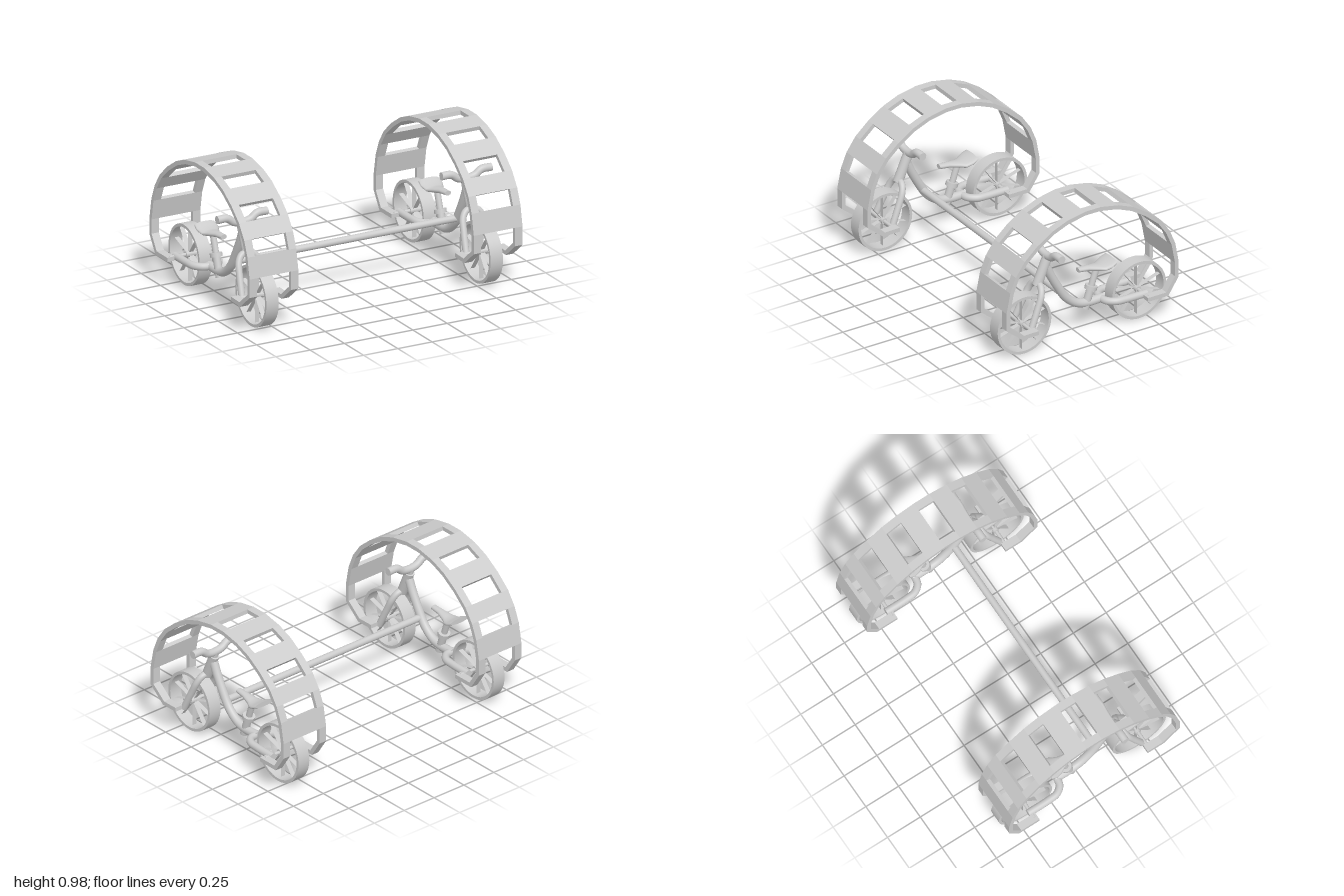
import * as THREE from 'three';

const mat = new THREE.MeshStandardMaterial({ color: 0xcccccc });
const thin = new THREE.MeshStandardMaterial({ color: 0xcccccc, side: THREE.DoubleSide });
const V = (p) => new THREE.Vector3(...p);

function add(parent, geo, name, material = mat) {
  const m = new THREE.Mesh(geo, material);
  m.name = name;
  parent.add(m);
  return m;
}

// Straight cylinder between two points
function rod(parent, a, b, r, name, r2 = r) {
  const p = V(a), q = V(b), d = q.clone().sub(p);
  const m = add(parent, new THREE.CylinderGeometry(r2, r, d.length(), 20), name);
  m.position.copy(p).add(q).multiplyScalar(0.5);
  m.quaternion.setFromUnitVectors(new THREE.Vector3(0, 1, 0), d.normalize());
  return m;
}

// Bent tube with closed ends
function tube(parent, pts, r, name) {
  const g = new THREE.Group();
  g.name = name;
  const curve = new THREE.CatmullRomCurve3(pts.map(V));
  add(g, new THREE.TubeGeometry(curve, 32, r, 16), name + 'Tube');
  for (const t of [0, 1]) {
    const cap = add(g, new THREE.CircleGeometry(r, 16), name + 'End');
    const p = curve.getPoint(t);
    cap.position.copy(p);
    cap.lookAt(p.clone().addScaledVector(curve.getTangent(t), t ? 1 : -1));
  }
  parent.add(g);
}

// Hoop outline as [z, y], from front axle over the top to rear axle
const HOOP = [
  [0.407, 0.188], [0.53, 0.186], [0.652, 0.285], [0.652, 0.41], [0.624, 0.55], [0.582, 0.652],
  [0.514, 0.748], [0.418, 0.832], [0.304, 0.906], [0.192, 0.951], [0.058, 0.977],
  [-0.058, 0.977], [-0.192, 0.951], [-0.304, 0.906], [-0.418, 0.832], [-0.518, 0.745],
  [-0.582, 0.652], [-0.624, 0.55], [-0.65, 0.41], [-0.65, 0.302], [-0.572, 0.184], [-0.418, 0.184],
].map((p) => new THREE.Vector2(...p));
const THICK = 0.028;

// Inner outline, mitred at every corner
const INNER = HOOP.map((p, i) => {
  const normal = (a, b) => new THREE.Vector2(a.y - b.y, b.x - a.x).normalize();
  const n1 = normal(HOOP[Math.max(i - 1, 0)], HOOP[Math.max(i, 1)]);
  const last = HOOP.length - 1;
  const n2 = normal(HOOP[Math.min(i, last - 1)], HOOP[Math.min(i + 1, last)]);
  const n = n1.clone().add(n2).normalize();
  return p.clone().addScaledVector(n, THICK / n.dot(n1));
});

// Piece of the hoop from corner i to corner j, spanning a width in x
function band(parent, i, j, x, width, name) {
  const outline = [...HOOP.slice(i, j + 1), ...INNER.slice(i, j + 1).reverse()];
  const geo = new THREE.ExtrudeGeometry(new THREE.Shape(outline), { depth: width, bevelEnabled: false });
  geo.translate(0, 0, -width / 2).rotateY(-Math.PI / 2).translate(x, 0, 0);
  add(parent, geo, name);
}

function makeHoop() {
  const g = new THREE.Group();
  g.name = 'hoop';
  for (const s of [-1, 1]) band(g, 0, HOOP.length - 1, s * 0.151, 0.054, 'hoopRail');
  for (let i = 3; i < 18; i += 2) band(g, i, i + 1, 0, 0.25, 'hoopPanel');
  return g;
}

function makeWheel(name, z) {
  const g = new THREE.Group();
  g.name = name;
  // Flat-sided rim
  const w = 0.045, R = 0.203, r = 0.184;
  const corners = [[R, -w], [R, w], [r, w], [r, -w]];
  for (let i = 0; i < 4; i++) {
    const side = [corners[i], corners[(i + 1) % 4]].map((p) => new THREE.Vector2(...p));
    add(g, new THREE.LatheGeometry(side, 48).rotateZ(Math.PI / 2), 'rim', thin);
  }
  // Ribbon spokes
  for (let i = 0; i < 10; i++) {
    const spoke = new THREE.PlaneGeometry(0.032, 0.186).translate(0, 0.093, 0);
    add(g, spoke.rotateX((i / 10) * Math.PI * 2), 'spoke', thin);
  }
  rod(g, [-0.035, 0, 0], [0.035, 0, 0], 0.02, 'hub');
  rod(g, [-0.15, 0, 0], [0.15, 0, 0], 0.012, 'axle');
  g.position.set(0, 0.203, z);
  return g;
}

// Saddle stations from nose to tail: z, middle y, half height, half width
function makeSaddle() {
  const st = [[0, 0.457, 0.016, 0.022], [-0.07, 0.451, 0.018, 0.027], [-0.14, 0.438, 0.021, 0.045],
    [-0.175, 0.433, 0.021, 0.065], [-0.215, 0.449, 0.02, 0.08], [-0.252, 0.467, 0.018, 0.075]];
  const geo = new THREE.CylinderGeometry(1, 1, 1, 16, st.length - 1);
  const p = geo.attributes.position;
  for (let i = 0; i < p.count; i++) {
    const [z, y, h, w] = st[Math.round((0.5 - p.getY(i)) * (st.length - 1))];
    p.setXYZ(i, p.getX(i) * w, y - p.getZ(i) * h, z);
  }
  geo.computeVertexNormals();
  return geo;
}

function makeBike(name, x) {
  const g = new THREE.Group();
  g.name = name;
  g.add(makeHoop(), makeWheel('frontWheel', 0.431), makeWheel('rearWheel', -0.437));

  // Main frame, steering column and forks
  tube(g, [[0, 0.57, 0.245], [0, 0.5, 0.215], [0, 0.4, 0.162], [0, 0.29, 0.092],
    [0, 0.227, 0.015], [0, 0.205, -0.06], [0, 0.205, -0.19]], 0.029, 'mainFrame');
  rod(g, [0, 0.44, 0.308], [0, 0.61, 0.235], 0.033, 'steeringColumn');
  rod(g, [0, 0.58, 0.245], [0, 0.64, 0.236], 0.027, 'stem');
  for (const s of [-1, 1]) {
    tube(g, [[0, 0.455, 0.3], [s * 0.045, 0.44, 0.307], [s * 0.072, 0.4, 0.322],
      [s * 0.085, 0.32, 0.357], [s * 0.1, 0.185, 0.417]], 0.022, 'frontForkLeg');
    tube(g, [[0, 0.205, -0.17], [s * 0.055, 0.205, -0.185], [s * 0.092, 0.205, -0.23],
      [s * 0.1, 0.204, -0.3], [s * 0.1, 0.202, -0.456]], 0.025, 'rearForkLeg');
  }

  // Handlebar dipping in the middle
  tube(g, [[-0.182, 0.68, 0.236], [-0.11, 0.678, 0.236], [-0.06, 0.645, 0.236], [0, 0.635, 0.236],
    [0.06, 0.645, 0.236], [0.11, 0.678, 0.236], [0.182, 0.68, 0.236]], 0.026, 'handlebar');

  // Seat post, collar and saddle
  rod(g, [0, 0.165, -0.055], [0, 0.3, -0.098], 0.026, 'seatTube');
  rod(g, [0, 0.29, -0.095], [0, 0.435, -0.143], 0.021, 'seatPost');
  rod(g, [0, 0.292, -0.096], [0, 0.318, -0.104], 0.041, 'seatCollar');
  add(g, makeSaddle(), 'saddle');

  g.position.x = x;
  return g;
}

export function createModel() {
  const model = new THREE.Group();
  model.name = 'twinHoopedBicycles';
  model.add(makeBike('leftBike', 0.818), makeBike('rightBike', -0.818));
  // Bar joining the two frames
  rod(model, [-0.818, 0.33, 0.125], [0.818, 0.33, 0.125], 0.023, 'connectingBar');
  return model;
}
